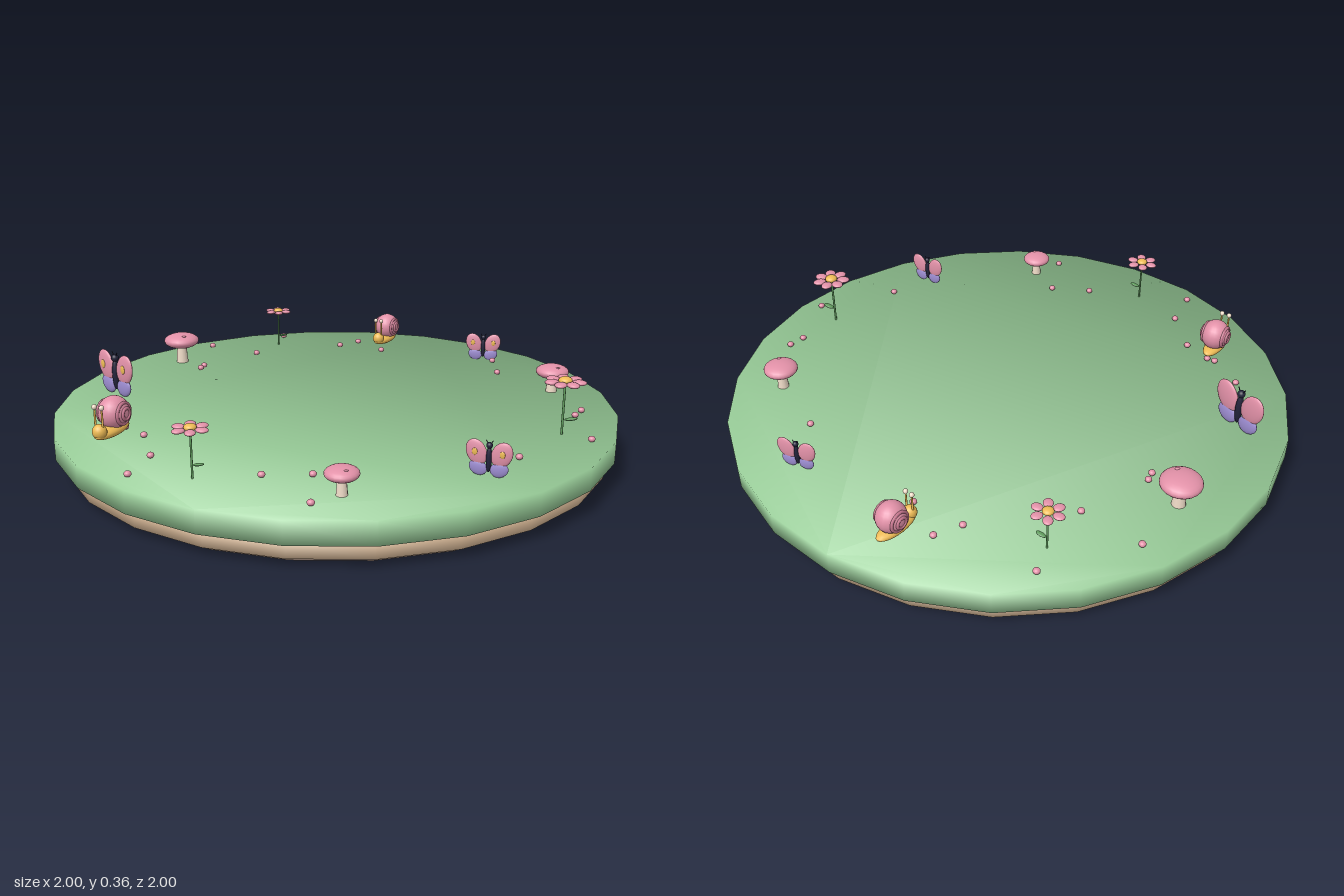
import * as THREE from 'three';

const mats = {};
const mat = (c) => (mats[c] ??= new THREE.MeshStandardMaterial({ color: c }));
const PINK = 0xe291a8, GOLD = 0xeebb55, GREEN = 0x98cc98, LEAF = 0x5f9a5c, TAN = 0xe0bf9c,
  BASE = 0xb89c8c, DARK = 0x23233a, LILAC = 0x9c8cd0, CREAM = 0xf0dcc8;
const TOP = 0.16;

function add(parent, name, geo, color, x = 0, y = 0, z = 0) {
  const m = new THREE.Mesh(geo, mat(color));
  m.name = name;
  m.position.set(x, y, z);
  parent.add(m);
  return m;
}

// Ellipsoid with its own three radii
function blob(parent, name, color, [x, y, z], [rx, ry, rz]) {
  const m = add(parent, name, new THREE.SphereGeometry(1, 20, 14), color, x, y, z);
  m.scale.set(rx, ry, rz);
  return m;
}

function rod(parent, name, color, r0, r1, x, y0, y1, z = 0) {
  return add(parent, name, new THREE.CylinderGeometry(r1, r0, y1 - y0, 12), color, x, (y0 + y1) / 2, z);
}

// 24-sided slab whose normals run softly over the rim
function slab(parent, name, color, r, y0, y1) {
  const pts = Array.from({ length: 24 }, (_, i) => {
    const a = (i / 24) * Math.PI * 2;
    return new THREE.Vector2(r * Math.cos(a), r * Math.sin(a));
  });
  const geo = new THREE.ExtrudeGeometry(new THREE.Shape(pts), { depth: y1 - y0, bevelEnabled: false });
  geo.rotateX(-Math.PI / 2).translate(0, y0, 0);
  const p = geo.attributes.position, n = geo.attributes.normal;
  const v = new THREE.Vector3();
  for (let i = 0; i < p.count; i++) {
    v.set(p.getX(i) / r, p.getY(i) > (y0 + y1) / 2 ? 1 : -1, p.getZ(i) / r).normalize();
    n.setXYZ(i, v.x, v.y, v.z);
  }
  add(parent, name, geo, color);
}

function flower({ petals = 6 }) {
  const g = new THREE.Group();
  g.name = 'flower';
  rod(g, 'stem', LEAF, 0.004, 0.004, 0, 0, 0.185);
  const leaf = blob(g, 'leaf', LEAF, [0.027, 0.058, 0], [0.022, 0.005, 0.011]);
  leaf.rotation.z = 0.2;
  for (let i = 0; i < petals; i++) {
    const a = (i / petals) * Math.PI * 2;
    const p = blob(g, 'petal', PINK, [0.046 * Math.cos(a), 0.186, 0.046 * Math.sin(a)], [0.024, 0.009, 0.02]);
    p.rotation.y = -a;
  }
  blob(g, 'flowerCentre', GOLD, [0, 0.19, 0], [0.023, 0.013, 0.023]);
  return g;
}

function mushroom() {
  const g = new THREE.Group();
  g.name = 'mushroom';
  rod(g, 'stalk', CREAM, 0.024, 0.017, 0, 0, 0.085);
  blob(g, 'cap', PINK, [0, 0.092, 0], [0.07, 0.03, 0.07]);
  blob(g, 'capSpot', PINK, [0.028, 0.117, 0.025], [0.008, 0.004, 0.008]);
  return g;
}

function butterfly() {
  const g = new THREE.Group();
  g.name = 'butterfly';
  blob(g, 'body', DARK, [0, 0.08, 0], [0.013, 0.06, 0.014]);
  blob(g, 'head', DARK, [0, 0.142, 0], [0.014, 0.014, 0.014]);
  for (const s of [1, -1]) {
    const upper = blob(g, 'upperWing', PINK, [s * 0.055, 0.105, 0], [0.045, 0.06, 0.013]);
    upper.rotation.z = -s * 0.4;
    const lower = blob(g, 'lowerWing', LILAC, [s * 0.046, 0.037, 0], [0.041, 0.034, 0.012]);
    lower.rotation.z = s * 0.4;
    blob(g, 'wingSpot', GOLD, [s * 0.06, 0.11, 0.012], [0.012, 0.016, 0.004]);
    const feeler = rod(g, 'feeler', DARK, 0.002, 0.002, s * 0.01, 0.145, 0.165);
    feeler.rotation.z = -s * 0.5;
  }
  return g;
}

function snail() {
  const g = new THREE.Group();
  g.name = 'snail';
  blob(g, 'foot', GOLD, [0, 0.03, 0], [0.034, 0.02, 0.088]);
  blob(g, 'head', GOLD, [0, 0.045, 0.066], [0.025, 0.026, 0.024]);
  blob(g, 'shell', PINK, [0, 0.086, -0.018], [0.052, 0.056, 0.056]);
  // Coiled ridges on both flanks of the shell
  for (const s of [1, -1]) {
    for (const [r, x] of [[0.036, 0.038], [0.019, 0.048]]) {
      const ridge = add(g, 'shellRidge', new THREE.TorusGeometry(r, 0.006, 8, 24), 0xc87890, s * x, 0.086, -0.018);
      ridge.rotation.y = Math.PI / 2;
    }
    rod(g, 'eyeStalk', GOLD, 0.004, 0.003, s * 0.014, 0.055, 0.125, 0.066);
    blob(g, 'eye', CREAM, [s * 0.014, 0.128, 0.066], [0.009, 0.009, 0.009]);
  }
  return g;
}

export function createModel() {
  const model = new THREE.Group();
  model.name = 'meadowBase';
  slab(model, 'grass', GREEN, 1, 0.085, TOP + 0.002);
  slab(model, 'earthLayer', TAN, 0.967, 0.028, 0.085);
  slab(model, 'foundation', BASE, 0.92, 0, 0.028);

  // Ring of garden figures: [maker, size, turn, options]
  const ring = [
    [flower, 1, 0.1, { petals: 7 }], [mushroom, 0.87, 0], [butterfly, 0.69, 0.2], [snail, 0.93, -0.12],
    [flower, 0.81, 0], [mushroom, 1, 0], [butterfly, 1, -0.34], [snail, 1, 0],
    [flower, 0.87, 0], [mushroom, 0.76, 0], [butterfly, 0.71, 0],
  ];
  ring.forEach(([make, size, turn, options = {}], i) => {
    const a = (-i / ring.length) * Math.PI * 2;
    const g = make(options);
    g.position.set(0.82 * Math.cos(a), TOP, 0.82 * Math.sin(a));
    g.scale.setScalar(size);
    g.rotation.y = turn;
    model.add(g);
  });

  // Small berries scattered on the grass
  const berries = [
    [-0.225, -0.77], [-0.085, -0.685], [-0.275, -0.685], [-0.565, -0.725], [-0.775, -0.46], [-0.55, -0.435],
    [-0.66, -0.19], [-0.655, -0.155], [-0.69, 0.455], [-0.44, 0.58], [-0.32, 0.725], [-0.3, 0.88],
    [0.07, 0.725], [0.21, 0.66], [0.29, 0.85], [0.745, 0.28], [0.925, 0.035], [0.84, -0.24],
    [0.83, -0.18], [0.45, -0.565], [0.39, -0.715], [-0.57, 0.54], [-0.54, 0.54],
  ];
  for (const [x, z] of berries) blob(model, 'berry', PINK, [x, TOP + 0.013, z], [0.012, 0.01, 0.012]);
  return model;
}
